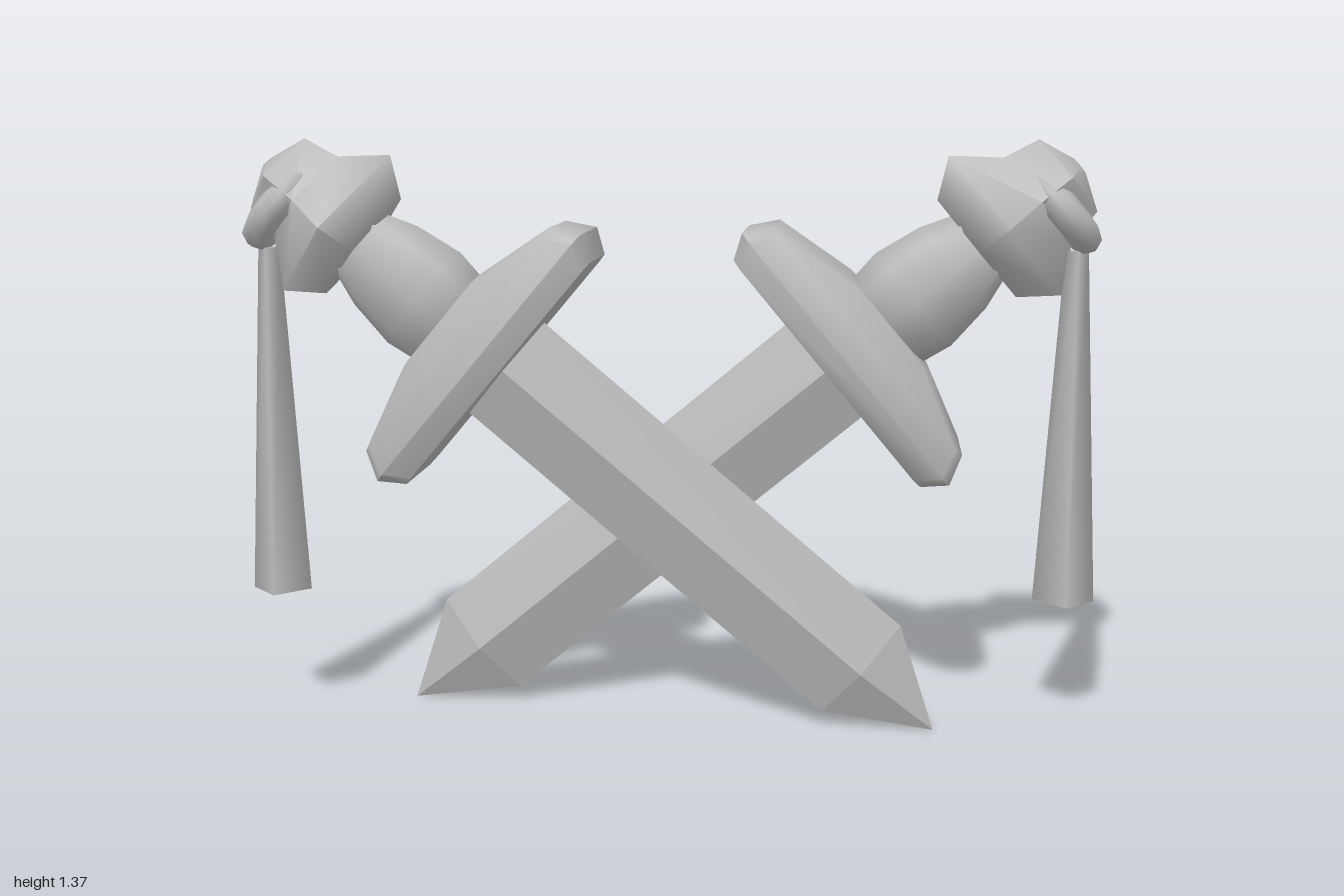
import * as THREE from 'three';
import { toCreasedNormals } from 'three/addons/utils/BufferGeometryUtils.js';

const steel = new THREE.MeshStandardMaterial({ color: 0xb8b8b8 });
steel.name = 'steel grey';

// Closed skin through rings [height, halfWidth, halfDepth]; unit(a, b) gives the ring outline
function loft(rings, outline, crease) {
  const pos = [], index = [];
  const n = outline(1, 1).length;
  for (const [y, a, b] of rings) for (const [x, z] of outline(a, b)) pos.push(x, y, z);
  const last = (rings.length - 1) * n;
  pos.push(0, rings[0][0], 0, 0, rings[rings.length - 1][0], 0);
  const bottom = rings.length * n, top = bottom + 1;
  for (let j = 0; j < n; j++) {
    const k = (j + 1) % n;
    for (let i = 0; i < rings.length - 1; i++) {
      const a = i * n + j, b = i * n + k;
      index.push(a, a + n, b, b, a + n, b + n);
    }
    index.push(bottom, j, k, top, last + k, last + j);
  }
  const g = new THREE.BufferGeometry();
  g.setAttribute('position', new THREE.Float32BufferAttribute(pos, 3));
  g.setIndex(index);
  g.computeVertexNormals();
  return crease ? toCreasedNormals(g, crease) : g;
}

// Ring outlines: ellipse with n sides, and rectangle with cut corners
const sides = (n) => (a, b) => Array.from({ length: n }, (_, i) => {
  const t = (i / n) * Math.PI * 2;
  return [a * Math.cos(t), b * Math.sin(t)];
});
const cutRect = (a, b) => {
  const c = 0.025;
  return [[a, -b + c], [a, b - c], [a - c, b], [-a + c, b],
    [-a, b - c], [-a, -b + c], [-a + c, -b], [a - c, -b]];
};

function part(name, geometry) {
  const mesh = new THREE.Mesh(geometry, steel);
  mesh.name = name;
  return mesh;
}

function createSword() {
  const sword = new THREE.Group();

  // Everything on the sword's own axis, tip down
  const body = new THREE.Group();
  body.name = 'swordBody';
  body.position.set(0.46, 0.147, 0.05);
  body.rotation.z = THREE.MathUtils.degToRad(50);

  body.add(part('blade', loft(
    [[-0.222, 0.0005, 0.0005], [0, 0.14, 0.05], [1.12, 0.14, 0.05]], sides(4), 0.2)));

  body.add(part('guard', loft(
    [[1.085, 0.335, 0.135], [1.14, 0.37, 0.15], [1.205, 0.335, 0.14], [1.263, 0.14, 0.1]],
    cutRect, 0.9)));

  body.add(part('grip', loft(
    [[1.22, 0.12, 0.09], [1.335, 0.138, 0.105], [1.45, 0.12, 0.1], [1.56, 0.08, 0.07]], sides(8))));

  body.add(part('pommel', loft(
    [[1.518, 0.143, 0.1], [1.6, 0.205, 0.143], [1.692, 0.123, 0.105], [1.777, 0.105, 0.1],
      [1.81, 0.02, 0.02]], sides(4), 1.3)));

  // Cord tied round the neck of the pommel
  const cord = part('cord', new THREE.TorusGeometry(0.083, 0.037, 8, 12));
  cord.rotation.x = Math.PI / 2;
  cord.position.set(-0.053, 1.72, 0);
  body.add(cord);

  // Tassel hangs straight down from the cord
  const tassel = part('tassel', new THREE.CylinderGeometry(0.026, 0.071, 0.82, 4));
  tassel.position.set(-0.928, 0.71, 0.05);

  sword.add(body, tassel);
  return sword;
}

export function createModel() {
  const model = new THREE.Group();
  model.name = 'crossedSwords';
  const front = createSword();
  front.name = 'frontSword';
  const back = createSword();
  back.name = 'backSword';
  back.rotation.y = Math.PI;
  model.add(front, back);
  return model;
}
